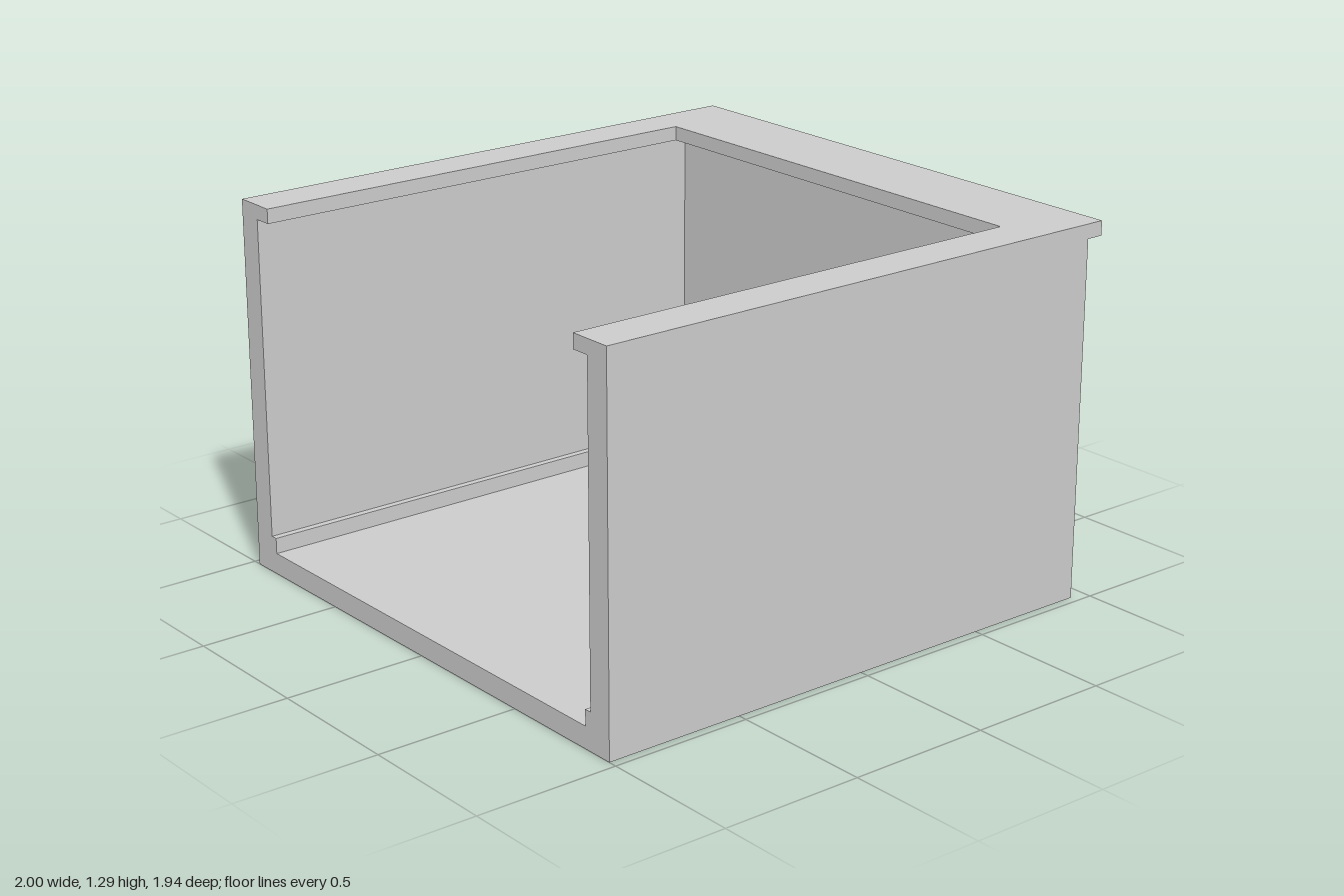
import * as THREE from 'three';

const DEPTH = 0.97; // half depth in z
const OPEN = -1;    // x of the open end

// U-shaped layer, open towards -x, between heights y0 and y1
function uLayer(name, outerX, innerX, innerZ, y0, y1, material) {
  const shape = new THREE.Shape([
    [OPEN, -DEPTH], [outerX, -DEPTH], [outerX, DEPTH], [OPEN, DEPTH],
    [OPEN, innerZ], [innerX, innerZ], [innerX, -innerZ], [OPEN, -innerZ],
  ].map(([x, z]) => new THREE.Vector2(x, z)));
  const geometry = new THREE.ExtrudeGeometry(shape, { depth: y1 - y0, bevelEnabled: false });
  geometry.rotateX(-Math.PI / 2).translate(0, y0, 0);
  const mesh = new THREE.Mesh(geometry, material);
  mesh.name = name;
  return mesh;
}

export function createModel() {
  const group = new THREE.Group();
  group.name = 'openBin';
  const material = new THREE.MeshStandardMaterial({ color: 0xcccccc });

  const wallX = 0.94, floorTop = 0.075, ledgeTop = 0.13, lipBottom = 1.24, top = 1.29;

  // Floor slab
  const floor = new THREE.Mesh(
    new THREE.BoxGeometry(wallX - OPEN, floorTop, DEPTH * 2), material);
  floor.position.set((wallX + OPEN) / 2, floorTop / 2, 0);
  floor.name = 'floor';
  group.add(floor);

  // Narrow ledge around the floor, three walls, and the overhanging rim
  group.add(
    uLayer('ledge', wallX, 0.77, 0.855, floorTop, ledgeTop, material),
    uLayer('walls', wallX, 0.795, 0.88, ledgeTop, lipBottom, material),
    uLayer('rim', 1, 0.7, 0.815, lipBottom, top, material),
  );
  return group;
}
